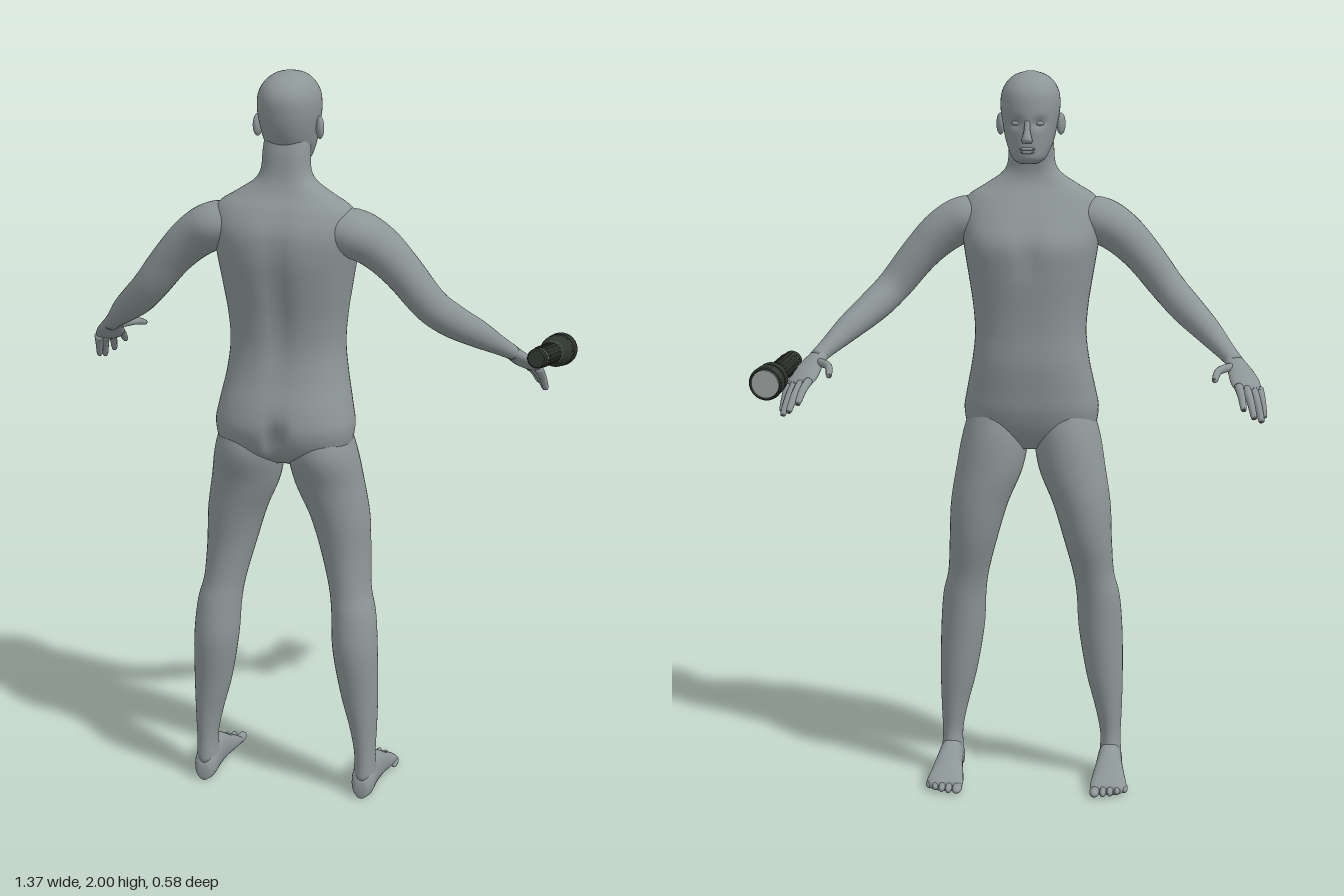
import * as THREE from 'three';
import { toCreasedNormals } from 'three/addons/utils/BufferGeometryUtils.js';

const V = (x, y, z) => new THREE.Vector3(x, y, z);
const UP = V(0, 1, 0), DOWN = V(0, -1, 0), FORWARD = V(0, 0, -1);
const bump = (d, w) => Math.exp(-(d * d) / (w * w));

// Smooth skin through cross-sections [x, y, z, half width, half depth].
// Rings are square to axis, or to the path when axis is null.
function loft(rows, { axis = null, power = 2, sides = 28, steps = 5, deform = null } = {}) {
  const path = new THREE.CatmullRomCurve3(rows.map(r => V(r[0], r[1], r[2])), false, 'catmullrom', 0.5);
  const size = new THREE.CatmullRomCurve3(rows.map(r => V(r[3], r[4], 0)), false, 'catmullrom', 0.5);
  const n = (rows.length - 1) * steps;
  const pos = [], index = [];
  const soft = t => Math.sign(t) * Math.abs(t) ** (2 / power);
  for (let i = -1; i <= n + 1; i++) {
    const t = Math.min(Math.max(i / n, 0), 1);
    const c = path.getPoint(t), r = size.getPoint(t);
    const k = i < 0 || i > n ? 0.001 : 1;
    const T = axis || path.getTangent(t);
    const u = Math.abs(T.y) > 0.99 ? V(1, 0, 0) : T.clone().cross(UP).normalize();
    const v = T.clone().cross(u);
    for (let j = 0; j < sides; j++) {
      const a = (j / sides) * Math.PI * 2;
      const p = c.clone().addScaledVector(u, soft(Math.cos(a)) * r.x * k)
        .addScaledVector(v, soft(Math.sin(a)) * r.y * k);
      if (deform) deform(p, c);
      pos.push(p.x, p.y, p.z);
    }
  }
  for (let i = 0; i < n + 2; i++) {
    for (let j = 0; j < sides; j++) {
      const a = i * sides + j, b = i * sides + (j + 1) % sides;
      index.push(a, b, b + sides, a, b + sides, a + sides);
    }
  }
  const g = new THREE.BufferGeometry();
  g.setAttribute('position', new THREE.Float32BufferAttribute(pos, 3));
  g.setIndex(index);
  g.computeVertexNormals();
  return g;
}

// Horizontal section [y, centre x, half width, front z, back z] to a loft row
const level = ([y, x, w, f, b]) => [x, y, (f + b) / 2, w, (b - f) / 2];

export function createModel() {
  const model = new THREE.Group();
  const paint = (name, color) => Object.assign(new THREE.MeshStandardMaterial({ color }), { name });
  const skin = paint('grey skin', 0x8d9697);
  const dark = paint('dark casing', 0x2f3630);
  const silver = paint('silver trim', 0xaab0ac);

  const figure = new THREE.Group();
  figure.name = 'figure';
  figure.position.x = -0.035;
  model.add(figure);
  const add = (parent, name, geometry, material = skin) => {
    const m = new THREE.Mesh(geometry, material);
    m.name = name;
    parent.add(m);
    return m;
  };
  const ball = (parent, name, p, s) => {
    const m = add(parent, name, new THREE.SphereGeometry(1, 18, 12));
    m.position.set(...p);
    m.scale.set(...s);
    return m;
  };

  // Torso and neck, with spine, cleft and breastbone grooves
  add(figure, 'torso', loft([
    [0.955, 0, 0.06, 0.11, 0.2], [1.0, 0, 0.165, 0.07, 0.265], [1.06, 0, 0.188, 0.045, 0.29],
    [1.12, 0, 0.18, 0.035, 0.283], [1.2, 0, 0.164, 0.025, 0.258], [1.28, 0, 0.155, 0.025, 0.245],
    [1.36, 0, 0.16, 0.02, 0.25], [1.45, 0, 0.174, 0.01, 0.267], [1.53, 0, 0.187, 0.008, 0.28],
    [1.6, 0, 0.195, 0.045, 0.276], [1.655, 0, 0.18, 0.08, 0.25], [1.69, 0, 0.13, 0.1, 0.226],
    [1.72, 0, 0.085, 0.106, 0.212], [1.75, 0, 0.066, 0.102, 0.205], [1.8, 0, 0.062, 0.09, 0.2],
    [1.85, 0, 0.055, 0.09, 0.19]
  ].map(level), {
    axis: UP, power: 2.3, sides: 56, deform: (p, c) => {
      const back = p.z > c.z;
      const cleft = 0.045 * bump(p.x, 0.018) * bump(p.y - 1.03, 0.06);
      const spine = 0.016 * bump(p.x, 0.03) * bump(p.y - 1.42, 0.2);
      const chest = 0.012 * bump(p.x, 0.025) * bump(p.y - 1.51, 0.07);
      p.z += back ? -cleft - spine : chest;
    }
  }));

  // Head with hollow eye sockets
  add(figure, 'head', loft([
    [1.752, 0, 0.026, 0.03, 0.09], [1.765, 0, 0.044, 0.012, 0.13], [1.79, 0, 0.057, 0.008, 0.165],
    [1.82, 0, 0.067, 0.006, 0.195], [1.86, 0, 0.075, 0.003, 0.215], [1.9, 0, 0.081, 0.002, 0.225],
    [1.94, 0, 0.079, 0.008, 0.226], [1.97, 0, 0.065, 0.03, 0.21], [1.99, 0, 0.042, 0.06, 0.178],
    [2.0, 0, 0.012, 0.105, 0.135]
  ].map(level), {
    axis: UP, power: 2.15, sides: 56, deform: p => {
      if (p.z < 0.07) p.z += 0.012 * bump(Math.abs(p.x) - 0.031, 0.017) * bump(p.y - 1.862, 0.013);
    }
  }));
  add(figure, 'nose', loft([
    [0, 1.868, 0.008, 0.007, 0.008], [0, 1.84, -0.001, 0.009, 0.012],
    [0, 1.818, -0.006, 0.015, 0.015], [0, 1.808, 0, 0.012, 0.01]
  ], { axis: DOWN, sides: 16 }));
  ball(figure, 'upperLip', [0, 1.793, 0.009], [0.022, 0.005, 0.01]);
  ball(figure, 'lowerLip', [0, 1.784, 0.011], [0.019, 0.005, 0.01]);

  for (const s of [-1, 1]) {
    const side = s > 0 ? 'left' : 'right';
    const flip = rows => rows.map(([x, ...rest]) => [s * x, ...rest]);
    ball(figure, side + 'Eye', [s * 0.031, 1.861, 0.025], [0.013, 0.007, 0.011]);
    ball(figure, side + 'Ear', [s * 0.083, 1.857, 0.125], [0.011, 0.03, 0.017]).rotation.y = s * 0.4;

    // Leg from hip to ankle
    const leg = new THREE.Group();
    leg.name = side + 'Leg';
    figure.add(leg);
    add(leg, 'legSkin', loft([
      [1.1, 0.09, 0.07, 0.08, 0.24], [1.0, 0.1, 0.092, 0.052, 0.27], [0.9, 0.116, 0.094, 0.045, 0.243],
      [0.8, 0.144, 0.081, 0.047, 0.225], [0.7, 0.161, 0.068, 0.06, 0.214], [0.6, 0.177, 0.058, 0.088, 0.218],
      [0.53, 0.19, 0.061, 0.1, 0.233], [0.43, 0.197, 0.062, 0.11, 0.245], [0.3, 0.209, 0.052, 0.12, 0.231],
      [0.2, 0.221, 0.038, 0.131, 0.222], [0.12, 0.227, 0.029, 0.137, 0.219], [0.05, 0.227, 0.032, 0.12, 0.222]
    ].map(level).map(([x, ...r]) => [s * x, ...r]), { axis: DOWN, sides: 36 }));

    // Foot from heel to ball, then five toes
    add(leg, 'foot', loft([
      [0.226, 0.227, 0.016, 0.045], [0.205, 0.227, 0.031, 0.075], [0.15, 0.227, 0.034, 0.1],
      [0.09, 0.228, 0.038, 0.088], [0.04, 0.229, 0.046, 0.06], [0, 0.23, 0.051, 0.04], [-0.025, 0.226, 0.044, 0.024]
    ].map(([z, x, w, h]) => [s * x, h / 2, z, w, h / 2]), { axis: FORWARD, power: 2.4 }));
    for (let i = 0; i < 5; i++) {
      const w = i ? 0.0095 : 0.014;
      ball(leg, 'toe', [s * (0.193 + i * 0.0195 + (i ? 0.004 : 0)), 0.012, -0.035 + i * i * 0.0025],
        [w, 0.012, 0.034 - i * 0.002]);
    }

    // Arm from shoulder to wrist
    const arm = new THREE.Group();
    arm.name = side + 'Arm';
    figure.add(arm);
    add(arm, 'armSkin', loft(flip([
      [0.1, 1.6, 0.172, 0.06, 0.05], [0.18, 1.594, 0.166, 0.078, 0.064], [0.245, 1.56, 0.157, 0.066, 0.061],
      [0.31, 1.497, 0.15, 0.054, 0.053], [0.38, 1.41, 0.137, 0.046, 0.048], [0.43, 1.358, 0.095, 0.045, 0.045],
      [0.49, 1.305, 0.028, 0.037, 0.037], [0.54, 1.257, -0.035, 0.027, 0.025], [0.568, 1.23, -0.072, 0.024, 0.02]
    ])));

    // Hand
    add(arm, 'palm', loft(flip([
      [0.556, 1.242, -0.056, 0.023, 0.02], [0.578, 1.213, -0.095, 0.034, 0.018],
      [0.594, 1.185, -0.135, 0.041, 0.015], [0.606, 1.166, -0.16, 0.036, 0.01]
    ]), { sides: 20 }));
    const digits = [
      ['indexFinger', [0.576, 1.178, -0.16], [0.59, 1.13, -0.253]],
      ['middleFinger', [0.596, 1.173, -0.157], [0.618, 1.105, -0.235]],
      ['ringFinger', [0.614, 1.17, -0.149], [0.638, 1.092, -0.21]],
      ['littleFinger', [0.63, 1.17, -0.137], [0.645, 1.1, -0.182]],
      ['thumb', [0.56, 1.222, -0.088], [0.511, 1.2, -0.205]]
    ];
    for (const [name, a, b] of digits) {
      const mid = a.map((t, k) => (t + b[k]) / 2);
      mid[1] += 0.007;
      if (name === 'thumb') mid[0] -= 0.012;
      const tip = a.map((t, k) => t + (b[k] - t) * 0.95);
      add(arm, name, loft(flip([
        [...a, 0.0125, 0.0115], [...mid, 0.0105, 0.0105], [...tip, 0.008, 0.008], [...b, 0.003, 0.003]
      ]), { sides: 12, steps: 4 }));
    }
  }

  // Torch beside the left hand, its lens pointing forward
  const torch = new THREE.Group();
  torch.name = 'torch';
  const tail = V(0.6, 1.222, -0.055), lens = V(0.636, 1.186, -0.285);
  torch.position.copy(tail);
  torch.quaternion.setFromUnitVectors(UP, lens.clone().sub(tail).normalize());
  model.add(torch);
  const profile = [
    [0, 0], [0.023, 0], [0.027, 0.005], [0.027, 0.02], [0.025, 0.022], [0.025, 0.026], [0.028, 0.028],
    [0.028, 0.14], [0.031, 0.15], [0.043, 0.17], [0.043, 0.19], [0.04, 0.192], [0.04, 0.197],
    [0.045, 0.199], [0.045, 0.232], [0.041, 0.235], [0.039, 0.229], [0, 0.229]
  ].map(p => new THREE.Vector2(...p));
  add(torch, 'casing', toCreasedNormals(new THREE.LatheGeometry(profile, 32), 0.5), dark);
  for (const [y, r] of [[0.024, 0.0255], [0.146, 0.0295], [0.1945, 0.041], [0.222, 0.0447]]) {
    const ring = add(torch, 'trimRing', new THREE.TorusGeometry(r, 0.0014, 6, 32), silver);
    ring.rotation.x = Math.PI / 2;
    ring.position.y = y;
  }
  for (let i = 0; i < 16; i++) {
    const a = (i / 16) * Math.PI * 2;
    const rib = add(torch, 'gripRib', new THREE.BoxGeometry(0.003, 0.095, 0.005), dark);
    rib.position.set(Math.cos(a) * 0.028, 0.085, Math.sin(a) * 0.028);
    rib.rotation.y = -a;
  }
  add(torch, 'lens', new THREE.CylinderGeometry(0.038, 0.038, 0.004, 32), silver).position.y = 0.2305;
  return model;
}
